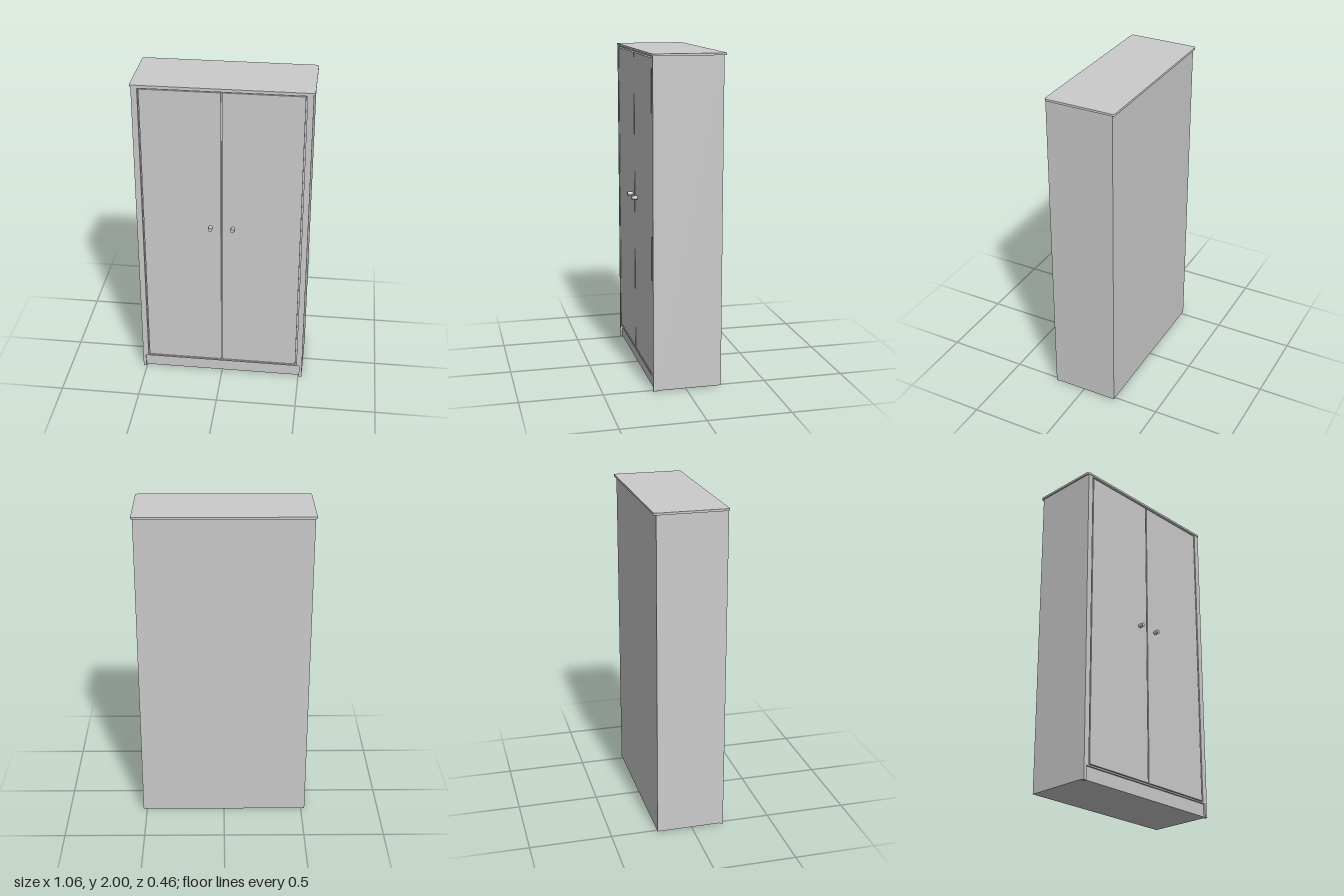
import * as THREE from 'three';

const material = new THREE.MeshStandardMaterial({ color: 0xcccccc });

export function createModel() {
  const model = new THREE.Group();
  model.name = 'wardrobe';

  const add = (name, geometry) => {
    const mesh = new THREE.Mesh(geometry, material);
    mesh.name = name;
    model.add(mesh);
    return mesh;
  };
  // Box given by its minimum and maximum on each axis
  const box = (name, x0, x1, y0, y1, z0, z1) =>
    add(name, new THREE.BoxGeometry(x1 - x0, y1 - y0, z1 - z0))
      .position.set((x0 + x1) / 2, (y0 + y1) / 2, (z0 + z1) / 2);

  // Closed cabinet body behind the face frame
  box('carcass', -0.523, 0.523, 0.005, 1.987, -0.217, 0.18);

  // Face frame rails and recessed plinth
  box('topRail', -0.487, 0.487, 1.98, 1.987, 0.18, 0.2);
  box('bottomRail', -0.505, 0.505, 0.085, 0.094, 0.18, 0.2);
  box('plinth', -0.505, 0.505, 0.005, 0.085, 0.18, 0.188);

  // Top board with rounded corners
  const w = 0.532, z0 = -0.232, z1 = 0.204, r = 0.015;
  const outline = new THREE.Shape();
  outline.absarc(w - r, z1 - r, r, 0, Math.PI / 2);
  outline.absarc(-w + r, z1 - r, r, Math.PI / 2, Math.PI);
  outline.absarc(-w + r, z0 + r, r, Math.PI, Math.PI * 1.5);
  outline.absarc(w - r, z0 + r, r, Math.PI * 1.5, Math.PI * 2);
  const board = new THREE.ExtrudeGeometry(outline, { depth: 0.013, bevelEnabled: false, curveSegments: 6 });
  board.rotateX(Math.PI / 2);
  add('topBoard', board).position.y = 2;

  // Mirrored pairs: stiles that reach the floor, doors and knobs
  for (const [side, s] of [['left', 1], ['right', -1]]) {
    const pair = (name, a, b, ...rest) => box(side + name, Math.min(s * a, s * b), Math.max(s * a, s * b), ...rest);
    pair('Stile', 0.487, 0.523, 0.085, 1.987, 0.18, 0.2);
    pair('StileFoot', 0.505, 0.523, 0, 0.085, 0.18, 0.2);
    pair('Door', 0.004, 0.479, 0.1, 1.975, 0.18, 0.199);

    const knob = new THREE.CylinderGeometry(0.012, 0.012, 0.035, 20);
    knob.rotateX(Math.PI / 2);
    add(side + 'Knob', knob).position.set(s * 0.068, 1.092, 0.2145);
  }

  return model;
}
